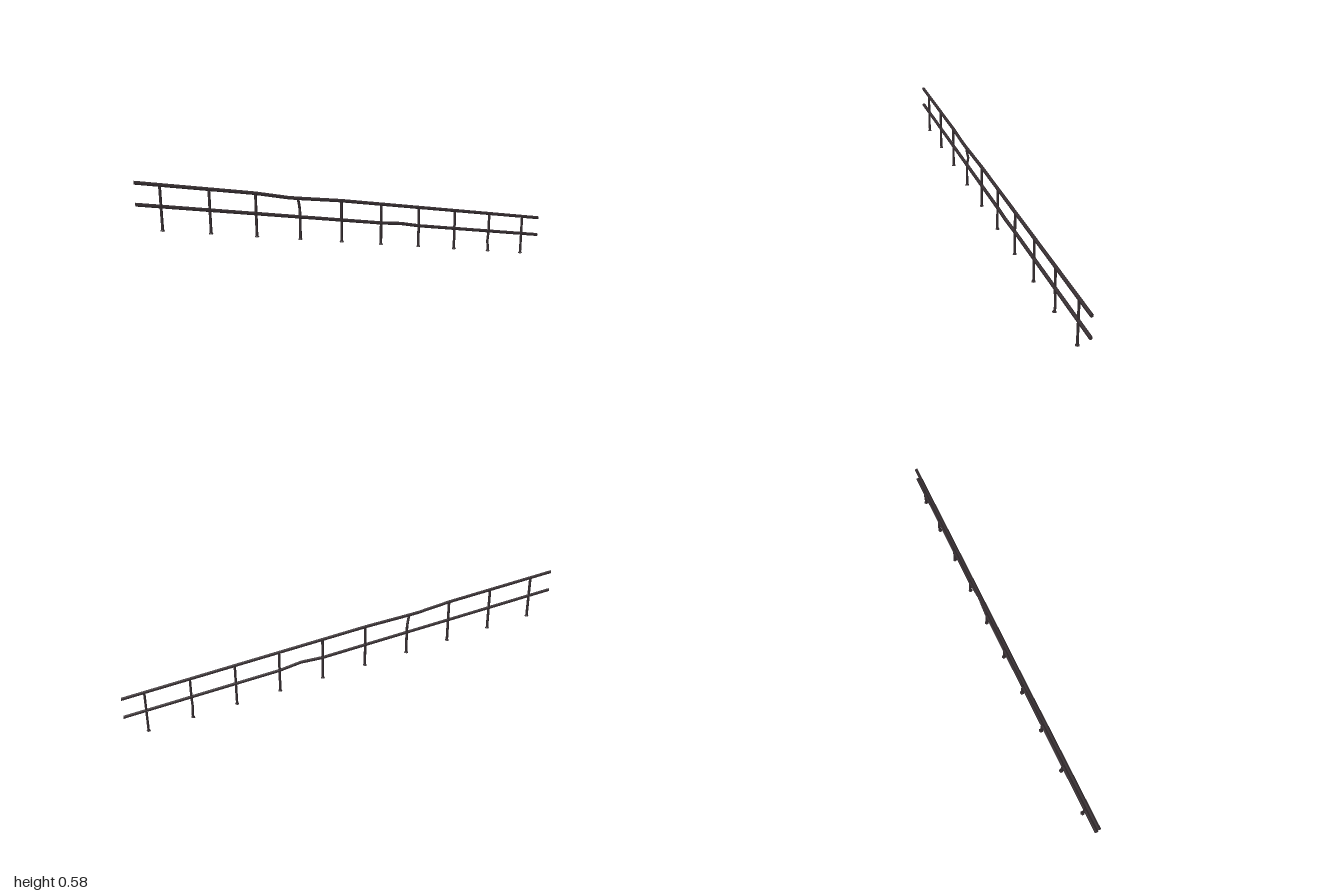
import * as THREE from 'three';

const SLOPE = -0.2;
const topY = x => 0.374 + SLOPE * x;
const lowY = x => 0.284 + SLOPE * x;
const baseY = x => 0.18 + SLOPE * x;

// Six-sided bar whose rings follow a list of [x, y, z] centres, along x or along y
function bar(points, radius, alongX) {
  const n = points.length - 1;
  const geo = new THREE.CylinderGeometry(radius, radius, 1, 6, n);
  const pos = geo.attributes.position;
  for (let i = 0; i < pos.count; i++) {
    const p = points[Math.round((pos.getY(i) + 0.5) * n)];
    const a = pos.getX(i), b = pos.getZ(i);
    if (alongX) pos.setXYZ(i, p[0], p[1] + b, p[2] + a);
    else pos.setXYZ(i, p[0] + a, p[1], p[2] + b);
  }
  geo.computeVertexNormals();
  return geo;
}

export function createModel() {
  const group = new THREE.Group();
  const metal = new THREE.MeshStandardMaterial({ color: 0x352d30, flatShading: true });
  metal.name = 'darkMetal';
  const add = (name, geo) => {
    const mesh = new THREE.Mesh(geo, metal);
    mesh.name = name;
    group.add(mesh);
    return mesh;
  };

  // Rails: each has one dent, given as [x, change in y, change in z]
  const rail = (name, heightAt, bends) => add(name, bar(
    bends.map(([x, dy, dz]) => [x, heightAt(x) + dy, dz]), 0.008, true));
  rail('topRail', topY, [[-1, 0, 0], [-0.5, 0, 0], [-0.35, -0.007, 0], [-0.3, -0.006, 0], [-0.1, 0, 0], [1, 0, 0]]);
  rail('lowerRail', lowY, [[-1, 0, 0], [0.1, 0, 0], [0.2, 0.006, 0.006], [0.3, 0, 0], [1, 0, 0]]);

  // Bent posts by index: [height above the foot, change in x, change in z]
  const bends = {
    3: [[0, 0, 0], [0.1, 0.001, 0], [0.14, 0.002, -0.006], [0.165, -0.003, -0.002], [0.188, -0.008, 0]],
    8: [[0, 0, 0], [0.02, 0.002, -0.002], [0.05, -0.002, -0.004], [0.1, 0, 0], [0.194, 0, 0]],
  };
  const straight = [[0, 0, 0], [0.194, 0, 0]];
  for (let i = 0; i < 10; i++) {
    const x = -0.9 + i * 0.2, y = baseY(x);
    const path = (bends[i] || straight).map(([h, dx, dz]) => [x + dx, y + h, dz]);
    add('post', bar(path, 0.006, false));
    // Flared foot
    const foot = add('postFoot', new THREE.CylinderGeometry(0.007, 0.01, 0.006, 6));
    foot.position.set(x, y + 0.003, 0);
  }
  return group;
}
